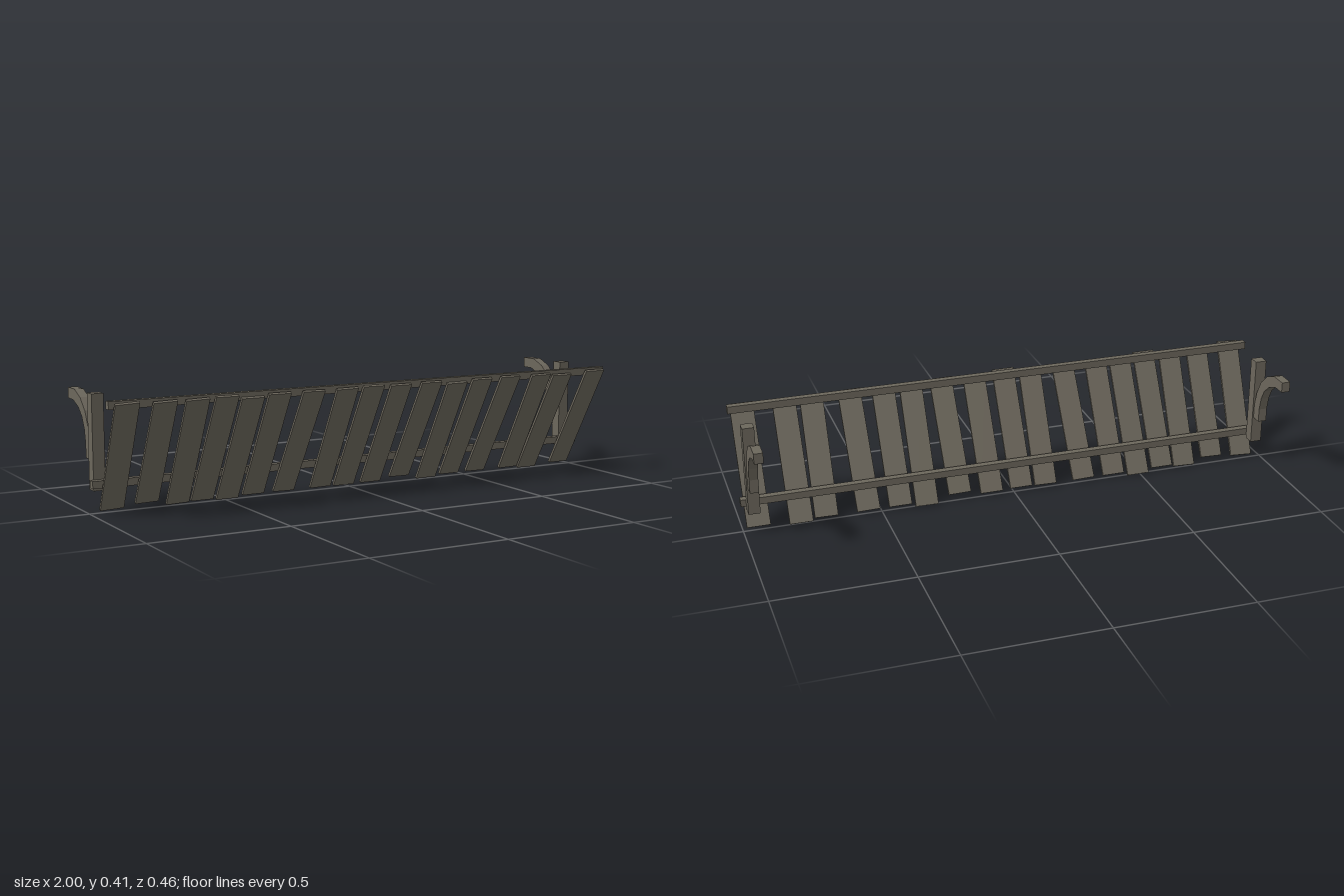
import * as THREE from 'three';

const wood = new THREE.MeshStandardMaterial({ color: 0x6c675c });
wood.name = 'weatheredWood';

function box(name, w, h, d, x, y, z) {
  const mesh = new THREE.Mesh(new THREE.BoxGeometry(w, h, d), wood);
  mesh.name = name;
  mesh.position.set(x, y, z);
  return mesh;
}

// Curved brace: a faceted side profile (z, y) extruded across x
function brace(x) {
  const pts = [
    [-0.03, 0.182], [-0.03, 0.235], [-0.042, 0.29], [-0.07, 0.343],
    [-0.114, 0.383], [-0.168, 0.405], [-0.232, 0.405],
    [-0.232, 0.367], [-0.184, 0.367], [-0.133, 0.347], [-0.1, 0.318],
    [-0.08, 0.28], [-0.07, 0.232], [-0.07, 0.182],
  ];
  const width = 0.032;
  const shape = new THREE.Shape(pts.map(([z, y]) => new THREE.Vector2(-z, y)));
  const geo = new THREE.ExtrudeGeometry(shape, { depth: width, bevelEnabled: false });
  geo.translate(0, 0, -width / 2);
  geo.rotateY(Math.PI / 2);
  const mesh = new THREE.Mesh(geo, wood);
  mesh.name = 'curvedBrace';
  mesh.position.x = x;
  return mesh;
}

// Planks: [top x, bottom x, bottom end, top end, depth], the last three along the slope
const PLANKS = [
  [-0.945, -0.922, 0.014, 0.46, -0.005],
  [-0.81, -0.797, 0.025, 0.453, -0.009],
  [-0.695, -0.68, 0.006, 0.453, -0.009],
  [-0.592, -0.592, 0.014, 0.461, -0.004],
  [-0.489, -0.489, -0.001, 0.44, -0.0137],
  [-0.393, -0.393, 0.012, 0.453, -0.009],
  [-0.262, -0.273, 0.012, 0.453, -0.009],
  [-0.131, -0.123, 0.012, 0.453, -0.009],
  [-0.03, -0.03, 0.015, 0.461, -0.004],
  [0.086, 0.086, 0.012, 0.453, -0.009],
  [0.213, 0.206, 0.025, 0.455, -0.009],
  [0.329, 0.335, -0.001, 0.44, -0.0137],
  [0.431, 0.431, 0.012, 0.453, -0.009],
  [0.556, 0.549, 0.012, 0.455, -0.009],
  [0.695, 0.703, 0.012, 0.453, -0.009],
  [0.794, 0.794, 0.003, 0.446, -0.009],
  [0.945, 0.945, 0.013, 0.455, -0.009],
];

export function createModel() {
  const model = new THREE.Group();
  model.name = 'slattedPalisade';

  // Horizontal rails
  model.add(box('topRail', 2, 0.027, 0.025, 0, 0.393, 0.188));
  model.add(box('bottomRail', 2, 0.026, 0.026, 0, 0.107, 0.025));

  // Posts with their braces
  for (const x of [-0.966, 0.96]) {
    const support = new THREE.Group();
    support.name = x < 0 ? 'rightSupport' : 'leftSupport';
    support.add(box('post', 0.042, 0.328, 0.041, x, 0.245, -0.0095), brace(x));
    model.add(support);
  }

  // Leaning row of uneven planks
  const planks = new THREE.Group();
  planks.name = 'planks';
  planks.rotation.x = Math.PI / 6;
  for (const [xt, xb, s0, s1, n] of PLANKS) {
    const plank = box('plank', 0.084, s1 - s0, 0.01, (xt + xb) / 2, (s0 + s1) / 2, n);
    plank.rotation.z = Math.atan2(xb - xt, s1 - s0);
    planks.add(plank);
  }
  model.add(planks);

  return model;
}
